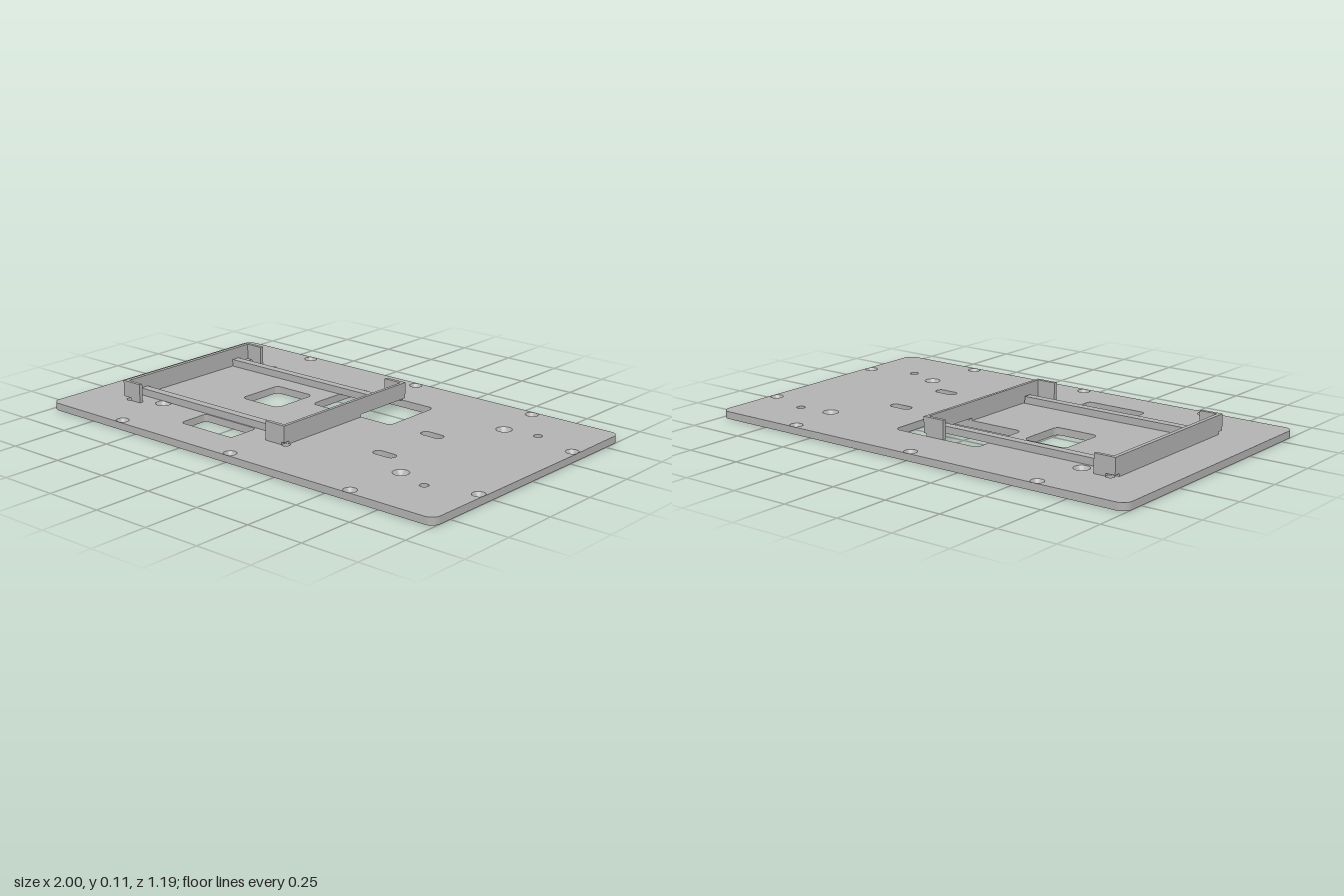
import * as THREE from 'three';
import { toCreasedNormals } from 'three/addons/utils/BufferGeometryUtils.js';

const T = 0.031;      // plate thickness
const TOP = 0.11;     // top of the bracket walls
const NOTCH = 0.042;  // top of the relief cuts under the walls

const metal = new THREE.MeshStandardMaterial({ color: 0xb2b2b2 });
metal.name = 'grey metal';

function roundedRect(path, x0, x1, z0, z1, r) {
  path.moveTo(x0 + r, z0);
  path.lineTo(x1 - r, z0);
  path.absarc(x1 - r, z0 + r, r, -Math.PI / 2, 0);
  path.lineTo(x1, z1 - r);
  path.absarc(x1 - r, z1 - r, r, 0, Math.PI / 2);
  path.lineTo(x0 + r, z1);
  path.absarc(x0 + r, z1 - r, r, Math.PI / 2, Math.PI);
  path.lineTo(x0, z0 + r);
  path.absarc(x0 + r, z0 + r, r, Math.PI, Math.PI * 1.5);
  return path;
}

function circle(x, z, r) {
  const path = new THREE.Path();
  path.absarc(x, z, r, 0, Math.PI * 2);
  return path;
}

function add(parent, name, geometry) {
  const mesh = new THREE.Mesh(geometry, metal);
  mesh.name = name;
  parent.add(mesh);
  return mesh;
}

function box(parent, name, x0, x1, y0, y1, z0, z1) {
  const mesh = add(parent, name, new THREE.BoxGeometry(x1 - x0, y1 - y0, z1 - z0));
  mesh.position.set((x0 + x1) / 2, (y0 + y1) / 2, (z0 + z1) / 2);
}

// Upright panel drawn as a side outline, with its underside relieved at both ends
function panel(u0, u1, cut0, cut1, depth) {
  const pts = [[u0, TOP], [u0, cut0 > u0 ? NOTCH : T]];
  if (cut0 > u0) pts.push([cut0, NOTCH], [cut0, T]);
  if (cut1 < u1) pts.push([cut1, T], [cut1, NOTCH], [u1, NOTCH]);
  else pts.push([u1, T]);
  pts.push([u1, TOP]);
  const shape = new THREE.Shape(pts.map(([u, y]) => new THREE.Vector2(u, y)));
  return new THREE.ExtrudeGeometry(shape, { depth, bevelEnabled: false });
}

export function createModel() {
  const model = new THREE.Group();
  model.name = 'mountingPlate';

  // Countersunk screw holes: x, z, outer radius, inner radius
  const screws = [];
  for (const s of [-1, 1]) {
    for (const x of [-0.6, 0, 0.6]) screws.push([x, s * 0.57, 0.027, 0.015]);
    for (const x of [-0.975, 0.975]) screws.push([x, s * 0.3, 0.027, 0.015]);
    for (const x of [-0.635, 0.625]) screws.push([x, s < 0 ? -0.343 : 0.309, 0.033, 0.018]);
  }

  // Base plate with windows, slots and plain holes
  const outline = roundedRect(new THREE.Shape(), -1, 1, -0.596, 0.596, 0.04);
  const openings = [
    [-0.165, 0.25, -0.372, -0.09, 0.024],
    [-0.44, -0.24, -0.175, 0.042, 0.024],
    [-0.402, -0.122, 0.295, 0.437, 0.018],
    [0.4, 0.503, -0.125, -0.081, 0.02],
    [0.4, 0.503, 0.17, 0.214, 0.02],
  ];
  for (const o of openings) outline.holes.push(roundedRect(new THREE.Path(), ...o));
  const plain = [[0.772, -0.365], [0.772, 0.358], [-0.777, -0.365], [-0.777, 0.358], [0.095, 0.358]];
  for (const [x, z] of plain) outline.holes.push(circle(x, z, 0.018));
  for (const [x, z, R] of screws) outline.holes.push(circle(x, z, R));
  const plate = new THREE.ExtrudeGeometry(outline, { depth: T, bevelEnabled: false, curveSegments: 12 });
  plate.rotateX(Math.PI / 2).translate(0, T, 0);
  add(model, 'basePlate', toCreasedNormals(plate, 0.7));

  // Sloped seats inside the screw holes
  for (const [x, z, R, r] of screws) {
    const profile = [[R, T], [r, 0.012], [r, 0], [R, 0]].map(([a, b]) => new THREE.Vector2(a, b));
    const seat = add(model, 'screwSeat', toCreasedNormals(new THREE.LatheGeometry(profile, 24), 0.5));
    seat.position.set(x, 0, z);
  }

  // Device bracket: two end walls with inward tabs
  const bracket = new THREE.Group();
  bracket.name = 'bracket';
  model.add(bracket);
  const leftEnd = panel(-0.375, 0.371, -0.347, 0.345, 0.018);
  add(bracket, 'rightEndWall', leftEnd.rotateY(-Math.PI / 2).translate(-0.787, 0, 0));
  const rightEnd = panel(-0.375, 0.371, -0.09, 0.345, 0.014);
  add(bracket, 'leftEndWall', rightEnd.rotateY(-Math.PI / 2).translate(0.098, 0, 0));
  for (const z of [-0.375, 0.355]) {
    add(bracket, 'rightTab', panel(-0.787, -0.71, -0.763, -0.71, 0.016).translate(0, 0, z));
    box(bracket, 'leftTab', 0, 0.084, T, TOP, z, z + 0.016);
  }

  // Long support rails between the walls
  for (const [z0, z1] of [[-0.299, -0.262], [0.252, 0.289]]) {
    box(bracket, 'supportRail', -0.787, 0.077, T, 0.061, z0, z1);
  }
  return model;
}
